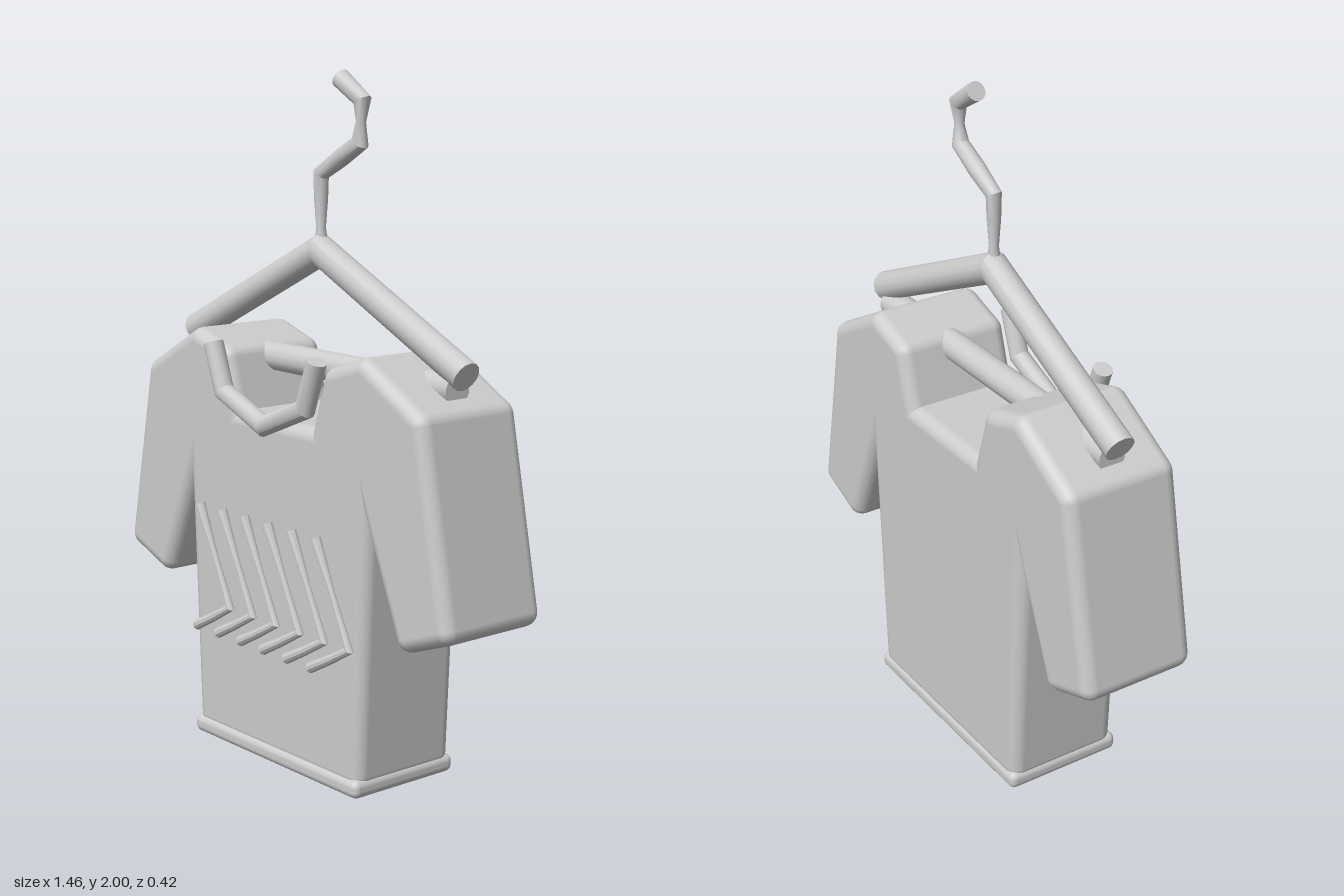
import * as THREE from 'three';
import { toCreasedNormals } from 'three/addons/utils/BufferGeometryUtils.js';
import { RoundedBoxGeometry } from 'three/addons/geometries/RoundedBoxGeometry.js';

function build(pos, index, normals) {
  const g = new THREE.BufferGeometry();
  g.setAttribute('position', new THREE.Float32BufferAttribute(pos, 3));
  if (normals) g.setAttribute('normal', new THREE.Float32BufferAttribute(normals, 3));
  g.setIndex(index);
  return g;
}

// Capped round tube along a flat path of [x, y, radius], with mitred bends
function tube(path, z, sides = 14) {
  const pts = path.map(([x, y]) => new THREE.Vector2(x, y));
  const pos = [], index = [], last = pts.length - 1;
  const dir = i => pts[i + 1].clone().sub(pts[i]).normalize();
  pts.forEach((p, i) => {
    const a = dir(Math.max(i - 1, 0)), b = dir(Math.min(i, last - 1));
    const t = a.clone().add(b).normalize();
    const m = 1 / Math.max(t.dot(a), 0.5), r = path[i][2];
    for (let j = 0; j < sides; j++) {
      const w = j / sides * Math.PI * 2, c = Math.cos(w) * r * m;
      pos.push(p.x - t.y * c, p.y + t.x * c, z + Math.sin(w) * r);
    }
  });
  const c0 = pos.length / 3;
  pos.push(pts[0].x, pts[0].y, z, pts[last].x, pts[last].y, z);
  for (let j = 0; j < sides; j++) {
    const k = (j + 1) % sides;
    for (let i = 0; i < last; i++) {
      const a = i * sides, b = a + sides;
      index.push(a + j, a + k, b + j, a + k, b + k, b + j);
    }
    index.push(c0, k, j, c0 + 1, last * sides + j, last * sides + k);
  }
  return toCreasedNormals(build(pos, index), 0.6);
}

// Slab grown from a counter-clockwise outline by a rounded edge of radius r:
// outer corners become arcs, inner corners stay mitred
function roundedSlab(outline, r, zFront, zBack, steps = 5) {
  const n = outline.length, rim = [];
  const P = outline.map(([x, y]) => new THREE.Vector2(x, y));
  const normalOf = i => {
    const d = P[(i + 1) % n].clone().sub(P[i % n]).normalize();
    return new THREE.Vector2(d.y, -d.x);
  };
  P.forEach((p, i) => {
    const a = normalOf(i + n - 1), b = normalOf(i);
    if (a.cross(b) > 0) {
      for (let s = 0; s <= steps; s++) {
        const d = a.clone().rotateAround(new THREE.Vector2(), s / steps * Math.acos(a.dot(b)));
        rim.push({ p, off: d, nor: d });
      }
    } else {
      const off = a.clone().add(b).divideScalar(1 + a.dot(b));
      rim.push({ p, off, nor: a }, { p, off, nor: b });
    }
  });
  const pos = [], nor = [], index = [], rows = 2 * steps + 2, m = rim.length;
  for (let i = 0; i < rows; i++) {
    const front = i <= steps;
    const w = (front ? i : rows - 1 - i) / steps * Math.PI / 2;
    const s = Math.sin(w), c = Math.cos(w);
    const z = front ? zFront - r * (1 - c) : zBack + r * (1 - c);
    rim.forEach(({ p, off, nor: d }, k) => {
      pos.push(p.x + off.x * r * s, p.y + off.y * r * s, z);
      nor.push(d.x * s, d.y * s, front ? c : -c);
      if (i < rows - 1) {
        const a = i * m + k, b = i * m + (k + 1) % m;
        index.push(a, a + m, b, b, a + m, b + m);
      }
    });
  }
  const faces = THREE.ShapeUtils.triangulateShape(P, []);
  for (const [z, s] of [[zFront, 1], [zBack, -1]]) {
    const base = pos.length / 3;
    for (const p of P) { pos.push(p.x, p.y, z); nor.push(0, 0, s); }
    for (const [a, b, c] of faces) {
      index.push(base + a, base + (s > 0 ? b : c), base + (s > 0 ? c : b));
    }
  }
  return build(pos, index, nor);
}

export function createModel() {
  const group = new THREE.Group();
  const grey = new THREE.MeshStandardMaterial({ color: 0xcccccc });
  grey.name = 'plain grey';
  const add = (name, geometry) => {
    const mesh = new THREE.Mesh(geometry, grey);
    mesh.name = name;
    group.add(mesh);
    return mesh;
  };
  const midZ = -0.025;

  // Shirt with short sleeves and an open neck
  const half = [
    [0.335, 0.06], [0.375, 0.945], [0.556, 0.508], [0.69, 0.558],
    [0.585, 1.088], [0.375, 1.205], [0.25, 1.165], [0.195, 0.985],
  ];
  const mirrored = half.map(([x, y]) => [-x, y]).reverse();
  add('shirt', roundedSlab([...half, ...mirrored], 0.04, 0.155, -0.205));

  // Hem band
  add('hem', new RoundedBoxGeometry(0.76, 0.054, 0.376, 4, 0.022)).position.set(0, 0.027, -0.023);

  // Collar trim on the front
  add('collar', tube([
    [-0.235, 1.222, 0.029], [-0.185, 1.085, 0.029], [0, 1.01, 0.029],
    [0.185, 1.085, 0.029], [0.235, 1.222, 0.029],
  ], 0.184));

  // Row of chevron strokes, pinched along the long arm
  for (let i = 0; i < 6; i++) {
    const x = i * 0.108;
    add('chevron' + (i + 1), tube([
      [x - 0.313, 0.728, 0.017], [x - 0.24, 0.585, 0.009],
      [x - 0.168, 0.44, 0.012], [x - 0.25, 0.394, 0.014], [x - 0.335, 0.35, 0.016],
    ], 0.182, 10));
  }

  // Hanger: sloping arms, cross bar and bent hook
  add('hangerArms', tube([[-0.603, 1.206, 0.044], [0, 1.494, 0.044], [0.603, 1.206, 0.044]], midZ));
  add('hangerBar', tube([[-0.57, 1.165, 0.043], [0.57, 1.165, 0.043]], midZ));
  add('hook', tube([
    [0, 1.51, 0.02], [0, 1.56, 0.014], [0, 1.64, 0.02], [0, 1.71, 0.022],
    [0.085, 1.757, 0.026], [0.168, 1.803, 0.024], [0.172, 1.86, 0.014],
    [0.178, 1.918, 0.024], [0.085, 1.977, 0.028],
  ], midZ));

  return group;
}
